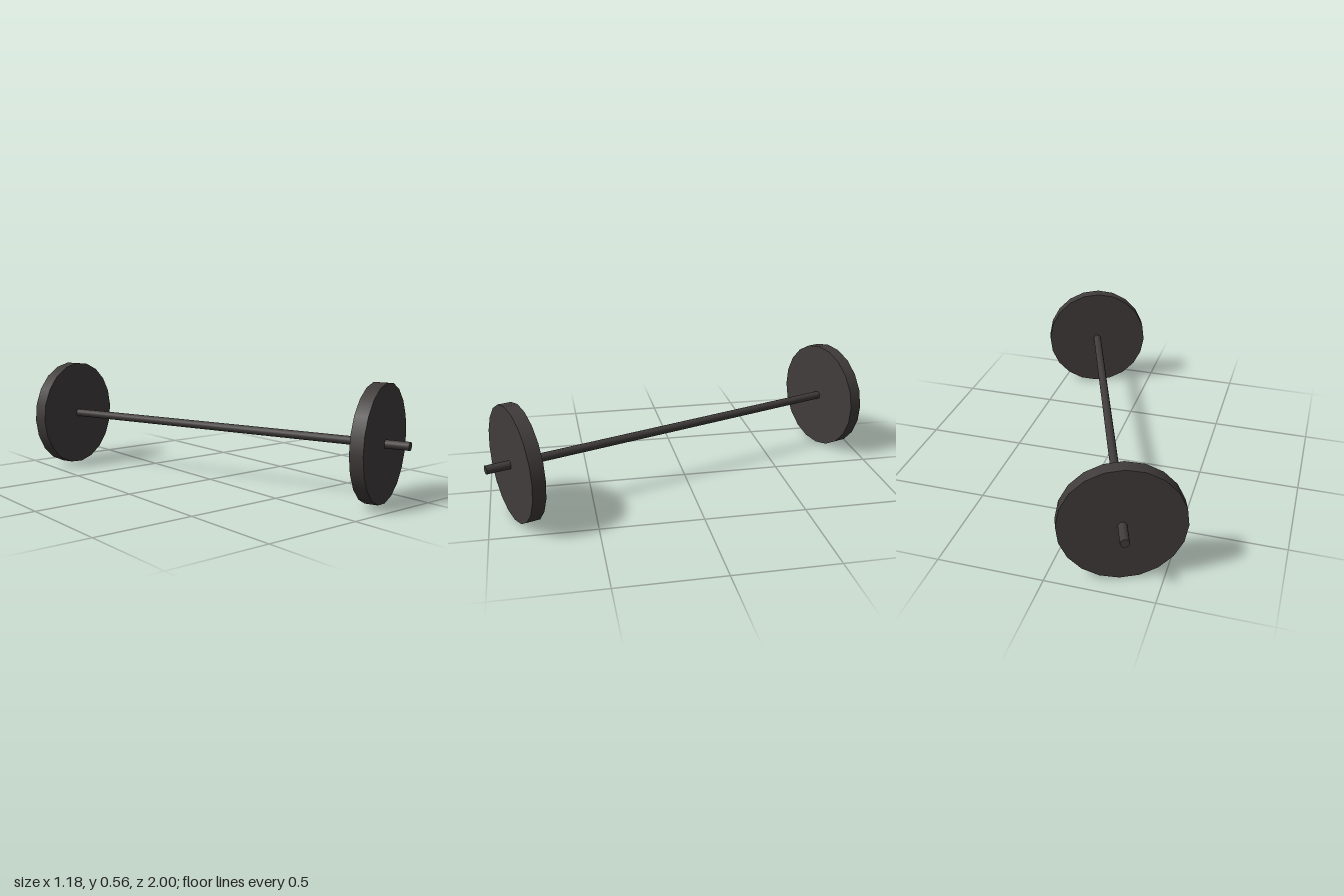
import * as THREE from 'three';

const AXLE_HEIGHT = 0.2825;

// Cylinder lying along z, with a small roll about its own axis
function rod(name, radius, length, sides, material) {
  const geometry = new THREE.CylinderGeometry(radius, radius, length, sides);
  geometry.rotateX(Math.PI / 2);
  geometry.rotateZ(THREE.MathUtils.degToRad(2.3));
  const mesh = new THREE.Mesh(geometry, material);
  mesh.name = name;
  return mesh;
}

export function createModel() {
  const iron = new THREE.MeshStandardMaterial({ color: 0x403c3b });
  iron.name = 'darkIron';

  const model = new THREE.Group();
  model.name = 'barbell';

  // Bar running through both plates
  model.add(rod('bar', 0.021, 2.114, 12, iron));

  // One weight plate near each end
  for (const [name, side] of [['frontPlate', 1], ['backPlate', -1]]) {
    const plate = rod(name, 0.2825, 0.065, 20, iron);
    plate.position.z = side * 0.91;
    model.add(plate);
  }

  // Turned slightly, resting on the plates
  model.rotation.y = THREE.MathUtils.degToRad(20);
  model.position.y = AXLE_HEIGHT;

  const root = new THREE.Group();
  root.add(model);
  return root;
}
